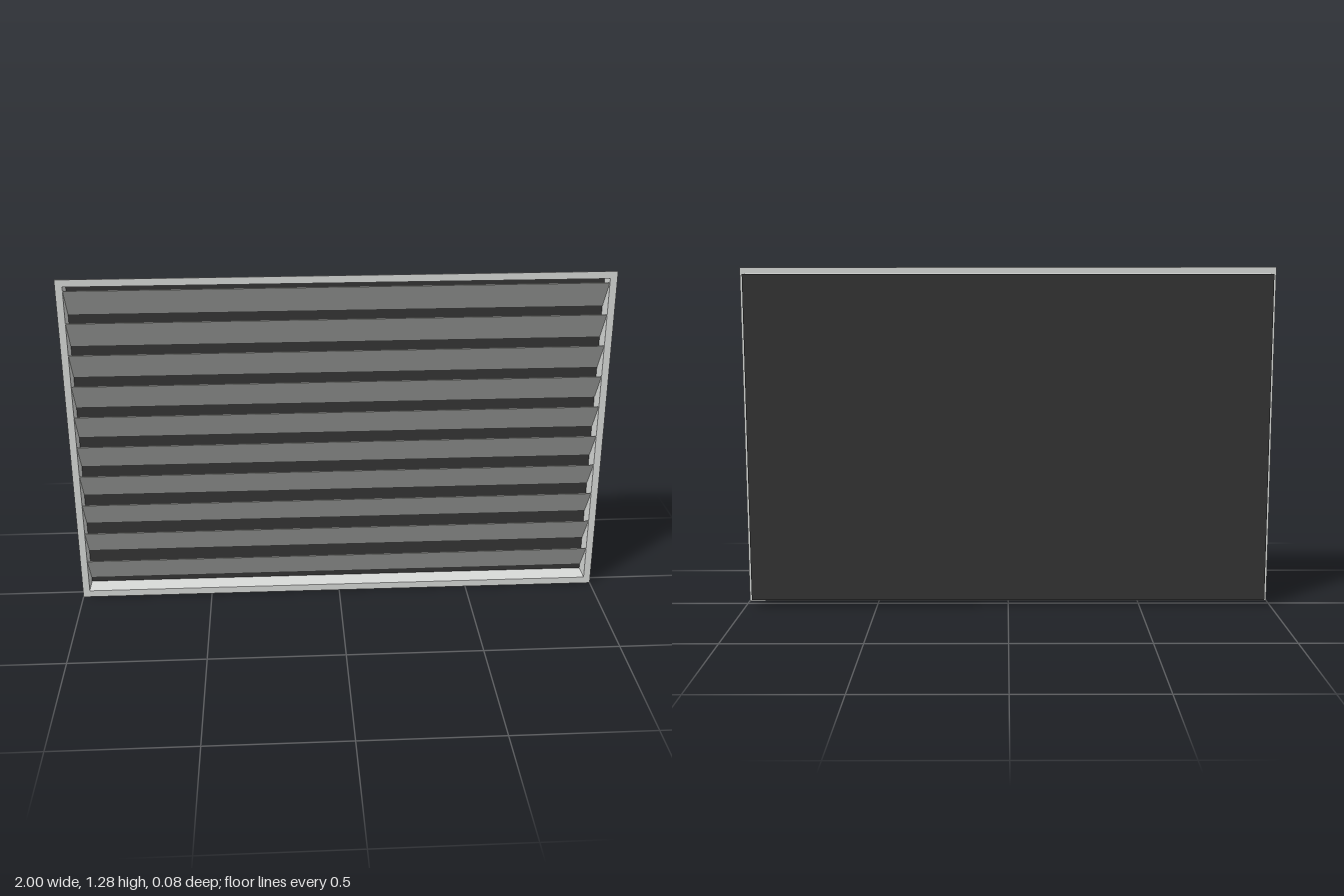
import * as THREE from 'three';

const W = 2, H = 1.28;            // flange size
const BW = 1.954, BH = 1.233;     // duct box size
const FRONT = 0.0395, BACK = -0.0385;
const WALL = 0.003, SHEET = 0.003;

// Rectangular ring, extruded along z from z0 to z1
function ringGeometry(w, h, innerW, innerH, z0, z1) {
  const rect = (target, a, b) => {
    target.moveTo(-a / 2, -b / 2);
    target.lineTo(a / 2, -b / 2);
    target.lineTo(a / 2, b / 2);
    target.lineTo(-a / 2, b / 2);
    target.closePath();
    return target;
  };
  const shape = rect(new THREE.Shape(), w, h);
  shape.holes.push(rect(new THREE.Path(), innerW, innerH));
  const geo = new THREE.ExtrudeGeometry(shape, { depth: z1 - z0, bevelEnabled: false });
  return geo.translate(0, H / 2, z0);
}

export function createModel() {
  const group = new THREE.Group();
  group.name = 'louvreVent';

  const material = (name, color) => {
    const m = new THREE.MeshStandardMaterial({ color });
    m.name = name;
    return m;
  };
  const frameGrey = material('frameGrey', 0xdadcda);
  const slatGrey = material('slatGrey', 0xcbcdca);
  const panelBlack = material('panelBlack', 0x353535);

  const add = (name, geo, mat) => {
    const mesh = new THREE.Mesh(geo, mat);
    mesh.name = name;
    group.add(mesh);
    return mesh;
  };

  // Thin front flange and the duct walls behind it
  const innerW = BW - 2 * WALL, innerH = BH - 2 * WALL;
  add('flange', ringGeometry(W, H, innerW, innerH, FRONT - SHEET, FRONT), frameGrey);
  add('ductWalls', ringGeometry(BW, BH, innerW, innerH, BACK + SHEET, FRONT - SHEET), frameGrey);

  // Dark sheet closing the back
  const panel = add('backPanel', new THREE.BoxGeometry(BW, BH, SHEET), panelBlack);
  panel.position.set(0, H / 2, BACK + SHEET / 2);

  // Ten sloping slats: high edge at the front, low edge at the back
  const count = 10, pitch = 0.1203, rise = 0.106, run = 0.069;
  const slatGeo = new THREE.BoxGeometry(innerW, Math.hypot(rise, run), 0.003);
  for (let i = 0; i < count; i++) {
    const slat = add('slat' + (i + 1), slatGeo, slatGrey);
    slat.position.set(0, H / 2 + 0.003 + (i - (count - 1) / 2) * pitch, 0.001);
    slat.rotation.x = Math.atan2(run, rise);
  }
  return group;
}
